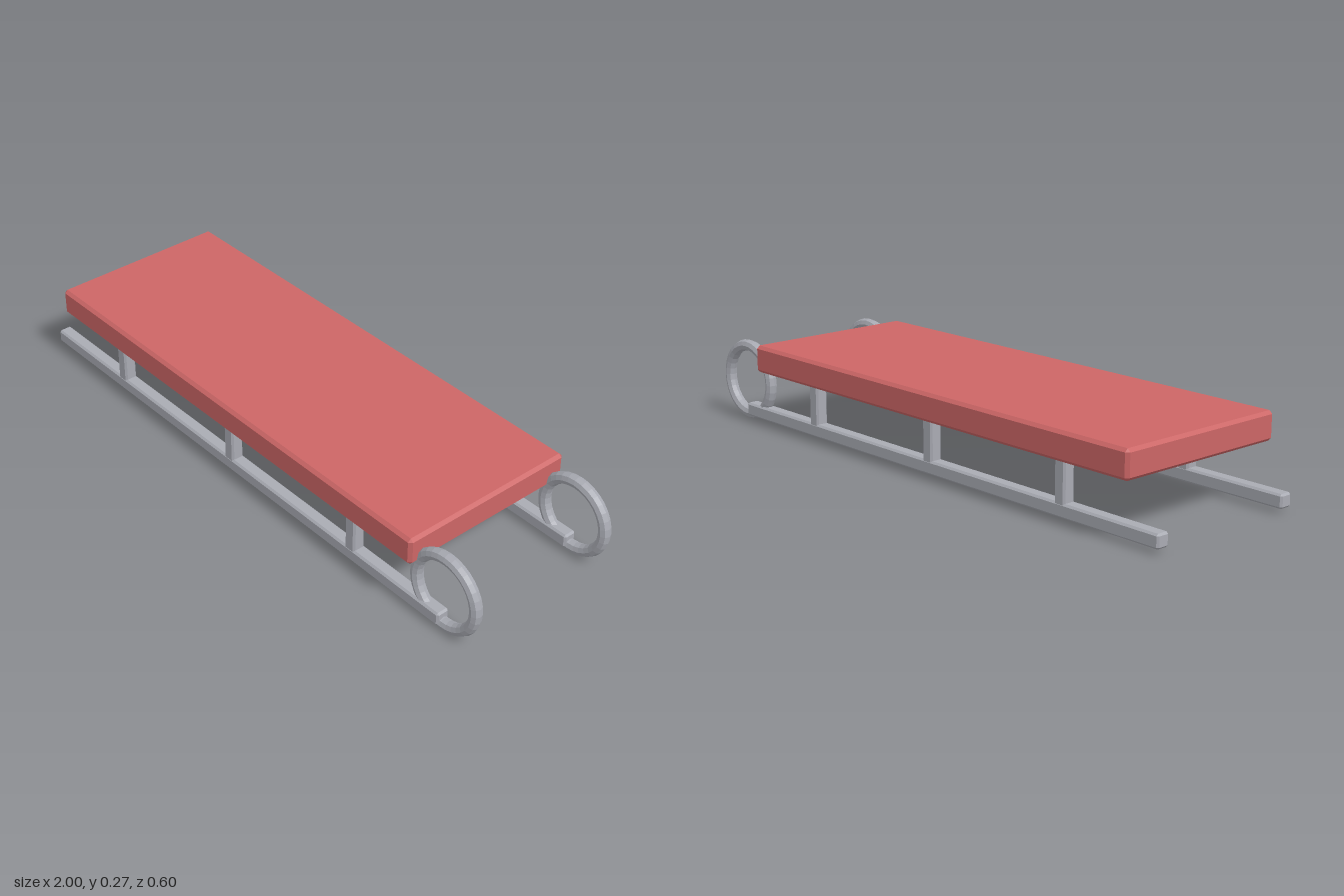
import * as THREE from 'three';
import { ConvexGeometry } from 'three/addons/geometries/ConvexGeometry.js';

// Box with chamfered edges, centred on the origin
function chamferBox(w, h, d, c) {
  const points = [];
  for (const x of [-w / 2, w / 2])
    for (const y of [-h / 2, h / 2])
      for (const z of [-d / 2, d / 2]) {
        const sx = Math.sign(x) * c, sy = Math.sign(y) * c, sz = Math.sign(z) * c;
        points.push(
          new THREE.Vector3(x, y - sy, z - sz),
          new THREE.Vector3(x - sx, y, z - sz),
          new THREE.Vector3(x - sx, y - sy, z));
      }
  return new ConvexGeometry(points);
}

export function createModel() {
  const model = new THREE.Group();
  model.name = 'sled';

  const red = new THREE.MeshStandardMaterial({ color: 0xcc6666 });
  red.name = 'red';
  const grey = new THREE.MeshStandardMaterial({ color: 0xa9abb3 });
  grey.name = 'grey';
  grey.flatShading = true;

  const add = (name, geometry, material, x, y, z, parent) => {
    const mesh = new THREE.Mesh(geometry, material);
    mesh.name = name;
    mesh.position.set(x, y, z);
    parent.add(mesh);
  };

  // Seat board
  add('deck', chamferBox(1.674, 0.09, 0.604, 0.01), red, -0.071, 0.23, 0, model);

  const runnerGeo = chamferBox(1.86, 0.044, 0.044, 0.006);
  const postGeo = chamferBox(0.042, 0.15, 0.042, 0.006);
  const ringGeo = new THREE.TorusGeometry(0.116, 0.019, 8, 32);

  // Runner, posts and curled front ring on each side
  for (const side of [1, -1]) {
    const group = new THREE.Group();
    group.name = side > 0 ? 'frontRunnerAssembly' : 'backRunnerAssembly';
    group.position.z = side * 0.256;
    add('runner', runnerGeo, grey, -0.07, 0.037, 0, group);
    for (const x of [-0.63, -0.07, 0.49]) add('post', postGeo, grey, x, 0.122, 0, group);
    add('ring', ringGeo, grey, 0.865, 0.136, 0, group);
    model.add(group);
  }
  return model;
}
